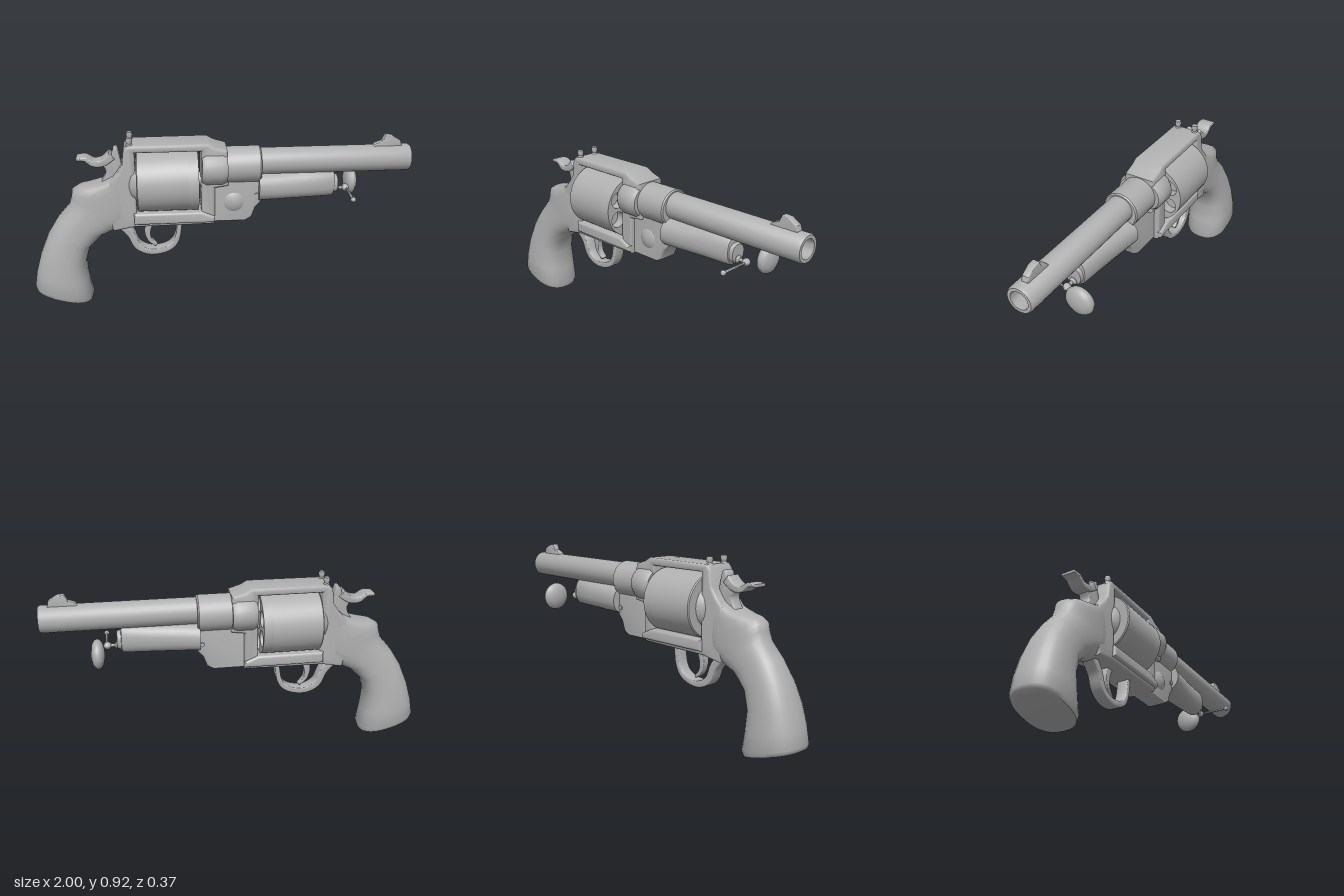
import * as THREE from 'three';
import { toCreasedNormals } from 'three/addons/utils/BufferGeometryUtils.js';

const V2 = (p) => new THREE.Vector2(p[0], p[1]);
const smooth = (pts, n = 24) => new THREE.SplineCurve(pts.map(V2)).getPoints(n);

// Side outline extruded symmetrically about z = 0
function plate(points, half, bevel = 0, holes = []) {
  const shape = new THREE.Shape(points.map(V2ish));
  holes.forEach((h) => shape.holes.push(new THREE.Path(h.map(V2ish))));
  const g = new THREE.ExtrudeGeometry(shape, {
    depth: 2 * (half - bevel), bevelEnabled: bevel > 0, bevelSize: bevel,
    bevelThickness: bevel, bevelOffset: -bevel, bevelSegments: 3,
  });
  return g.translate(0, 0, -(half - bevel));
}
const V2ish = (p) => (p.isVector2 ? p : V2(p));

// Curved band following a side path, tapering from thickness t0 to t1
function band(path, t0, t1, half, bevel = 0) {
  const curve = new THREE.SplineCurve(path.map(V2));
  const a = [], b = [], n = 24;
  for (let i = 0; i <= n; i++) {
    const p = curve.getPoint(i / n), t = curve.getTangent(i / n);
    const h = THREE.MathUtils.lerp(t0, t1, i / n) / 2;
    a.push(new THREE.Vector2(p.x - t.y * h, p.y + t.x * h));
    b.unshift(new THREE.Vector2(p.x + t.y * h, p.y - t.x * h));
  }
  return plate([...a, ...b], half, bevel);
}

// Turned part along x; profile is [x, radius]
const turned = (profile, y = 0, z = 0, sides = 32) =>
  new THREE.LatheGeometry(profile.map(([x, r]) => new THREE.Vector2(r, x)), sides)
    .rotateZ(-Math.PI / 2).translate(0, y, z);

// Loft of rounded rings; each section is [ax, ay, bx, by, halfWidth]
function loft(sections, power = 0.8, n = 28) {
  const pos = [], idx = [];
  const pw = (v) => Math.sign(v) * Math.abs(v) ** power;
  sections.forEach(([ax, ay, bx, by, w]) => {
    for (let i = 0; i < n; i++) {
      const t = (i / n) * Math.PI * 2, c = pw(Math.cos(t)) / 2;
      pos.push((ax + bx) / 2 + (bx - ax) * c, (ay + by) / 2 + (by - ay) * c, w * pw(Math.sin(t)));
    }
  });
  const last = sections.length - 1;
  for (let s = 0; s < last; s++) for (let i = 0; i < n; i++) {
    const j = (i + 1) % n, a = s * n + i, b = s * n + j;
    idx.push(a, a + n, b, b, a + n, b + n);
  }
  [0, last].forEach((s) => {
    const [ax, ay, bx, by] = sections[s], c = pos.length / 3;
    pos.push((ax + bx) / 2, (ay + by) / 2, 0);
    for (let i = 0; i < n; i++) {
      const a = s * n + i, b = s * n + ((i + 1) % n);
      if (s === 0) idx.push(c, a, b); else idx.push(c, b, a);
    }
  });
  const g = new THREE.BufferGeometry();
  g.setAttribute('position', new THREE.Float32BufferAttribute(pos, 3));
  g.setIndex(idx);
  return g;
}

export function createModel() {
  const group = new THREE.Group();
  group.name = 'revolver';
  const steel = new THREE.MeshStandardMaterial({ color: 0xb0b0b0, side: THREE.DoubleSide });
  steel.name = 'grey steel';
  const add = (name, geometry, crease = 0.65) => {
    const mesh = new THREE.Mesh(toCreasedNormals(geometry, crease), steel);
    mesh.name = name;
    group.add(mesh);
    return mesh;
  };

  // Barrel with bore, collar and swollen front of the frame
  add('barrel', turned([[0.1, 0], [0.1, 0.07], [0.99, 0.07], [1, 0.064], [1, 0.048], [0.9, 0.045], [0.9, 0]], 0.77));
  add('barrelCollar', turned([[-0.02, 0], [-0.02, 0.096], [0.205, 0.096], [0.212, 0.09], [0.212, 0]], 0.755));
  add('frameShoulder', turned([[-0.095, 0], [-0.095, 0.09], [-0.075, 0.1], [0.01, 0.1], [0.035, 0.09], [0.035, 0]])
    .scale(1, 1.02, 1.3).translate(0, 0.755, 0));

  // Frame with the cylinder window
  add('frame', plate([
    [-0.6, 0.6], [-0.57, 0.7], [-0.53, 0.745], [-0.5, 0.79], [-0.49, 0.87], [-0.47, 0.893], [-0.065, 0.895],
    [-0.03, 0.875], [0.035, 0.855], [0.04, 0.665], [-0.03, 0.655], [-0.03, 0.455], [-0.2, 0.452], [-0.45, 0.45], [-0.56, 0.43],
  ], 0.083, 0.014, [[[-0.435, 0.52], [-0.1, 0.52], [-0.1, 0.855], [-0.435, 0.855]]]));
  add('bottomStrap', plate([[-0.45, 0.47], [-0.03, 0.47], [-0.03, 0.5], [-0.1, 0.53], [-0.45, 0.53]], 0.1, 0.012));

  // Loading window in front of the cylinder, with its scooped wall
  add('loadingFrame', plate([
    [-0.05, 0.455], [0.13, 0.455], [0.165, 0.475], [0.185, 0.53], [0.212, 0.56], [0.212, 0.69], [-0.05, 0.69],
  ], 0.055, 0.01, [[[-0.03, 0.475], [0.12, 0.475], [0.15, 0.5], [0.18, 0.57], [0.18, 0.66], [-0.03, 0.66]]]));
  add('loadingScoop', new THREE.SphereGeometry(0.1, 28, 10, 0, Math.PI * 2, 0, Math.PI / 2)
    .rotateX(Math.PI / 2).translate(0.07, 0.565, -0.03));

  // Cylinder, with six chambers open at the front
  add('cylinder', turned([[-0.475, 0], [-0.475, 0.075], [-0.455, 0.1], [-0.43, 0.11], [-0.43, 0.157],
    [-0.425, 0.162], [-0.165, 0.162], [-0.165, 0]], 0.682, 0, 48));
  const face = new THREE.Shape().absarc(0, 0, 0.162, 0, Math.PI * 2);
  for (let i = 0; i < 6; i++) {
    const a = (i + 0.5) * Math.PI / 3;
    face.holes.push(new THREE.Path().absarc(0.107 * Math.cos(a), 0.107 * Math.sin(a), 0.043, 0, Math.PI * 2));
  }
  add('cylinderFront', new THREE.ExtrudeGeometry(face, { depth: 0.05, bevelEnabled: false, curveSegments: 24 })
    .rotateY(Math.PI / 2).translate(-0.165, 0.682, 0));
  add('cylinderPin', turned([[-0.13, 0], [-0.13, 0.035], [-0.08, 0.035], [-0.08, 0]], 0.682));

  // Grip flowing up into the back of the frame
  add('grip', loft([
    [-0.97, 0.075, -0.72, 0.012, 0.1],
    [-0.995, 0.09, -0.7, 0.008, 0.122],
    [-1.0, 0.11, -0.692, 0.035, 0.131],
    [-0.985, 0.19, -0.708, 0.13, 0.127],
    [-0.955, 0.29, -0.717, 0.24, 0.117],
    [-0.91, 0.395, -0.69, 0.325, 0.105],
    [-0.85, 0.49, -0.62, 0.392, 0.095],
    [-0.785, 0.565, -0.52, 0.435, 0.09],
    [-0.772, 0.61, -0.44, 0.47, 0.09],
    [-0.765, 0.645, -0.43, 0.54, 0.09],
    [-0.73, 0.665, -0.43, 0.63, 0.086],
    [-0.63, 0.68, -0.43, 0.72, 0.08],
    [-0.56, 0.715, -0.43, 0.79, 0.074],
  ]), 0.9);

  // Trigger and guard
  add('triggerGuard', band([[-0.53, 0.45], [-0.475, 0.39], [-0.44, 0.315], [-0.37, 0.28], [-0.28, 0.295],
    [-0.23, 0.35], [-0.213, 0.46]], 0.045, 0.025, 0.033, 0.006));
  add('trigger', band([[-0.365, 0.47], [-0.385, 0.4], [-0.375, 0.345], [-0.34, 0.31]], 0.045, 0.012, 0.018, 0.004));

  // Hammer and its thumb spur
  add('hammer', plate(smooth([[-0.62, 0.67], [-0.585, 0.74], [-0.6, 0.79], [-0.56, 0.815], [-0.545, 0.86],
    [-0.525, 0.868], [-0.512, 0.83], [-0.5, 0.76], [-0.49, 0.7]], 36), 0.03, 0.006));
  add('hammerSpur', band([[-0.73, 0.815], [-0.685, 0.815], [-0.645, 0.79], [-0.595, 0.795], [-0.55, 0.83]],
    0.014, 0.045, 0.04, 0.006));

  // Front sight and paired rear sight
  add('frontSight', plate([[0.8, 0.83], [0.815, 0.85], [0.85, 0.862], [0.865, 0.895], [0.9, 0.892], [0.945, 0.865],
    [0.955, 0.83]], 0.018, 0.004));
  for (const side of [-1, 1]) {
    add('rearSight', turned([[0, 0], [0, 0.022], [0.02, 0.013], [0.035, 0.017], [0.05, 0.015], [0.05, 0]], 0, 0, 16)
      .rotateZ(Math.PI / 2).translate(-0.46, 0.88, side * 0.05));
    add('frameScrew', new THREE.CylinderGeometry(0.012, 0.012, 0.012, 16)
      .rotateX(Math.PI / 2).translate(0.19, 0.6, side * 0.056));
  }

  // Housing under the barrel, narrowing towards the muzzle
  add('ramHousing', loft([
    [0.2, 0.715, 0.2, 0.562, 0.098], [0.3, 0.715, 0.3, 0.562, 0.085], [0.45, 0.715, 0.45, 0.565, 0.068],
    [0.59, 0.72, 0.59, 0.568, 0.056], [0.6, 0.715, 0.6, 0.575, 0.052], [0.602, 0.685, 0.602, 0.585, 0.045],
    [0.622, 0.68, 0.622, 0.59, 0.042],
  ], 0.85));

  // Ram rod, cross pin and separate mushroom knob
  add('ramRod', turned([[0.6, 0], [0.6, 0.022], [0.625, 0.02], [0.635, 0.009], [0.67, 0.009], [0.67, 0]], 0.605, 0, 16));
  add('ramBall', new THREE.SphereGeometry(0.02, 16, 12).translate(0.672, 0.605, 0));
  add('crossPin', new THREE.CylinderGeometry(0.007, 0.005, 0.17, 12).rotateX(Math.PI / 2).translate(0.675, 0.605, 0.085));
  add('crossPinBall', new THREE.SphereGeometry(0.014, 16, 12).translate(0.675, 0.605, 0.17));
  add('knob', turned([[0.685, 0], [0.686, 0.025], [0.694, 0.055], [0.708, 0.073], [0.722, 0.077], [0.737, 0.07],
    [0.748, 0.05], [0.754, 0.025], [0.756, 0]], 0.607, -0.107), 1);

  return group;
}
